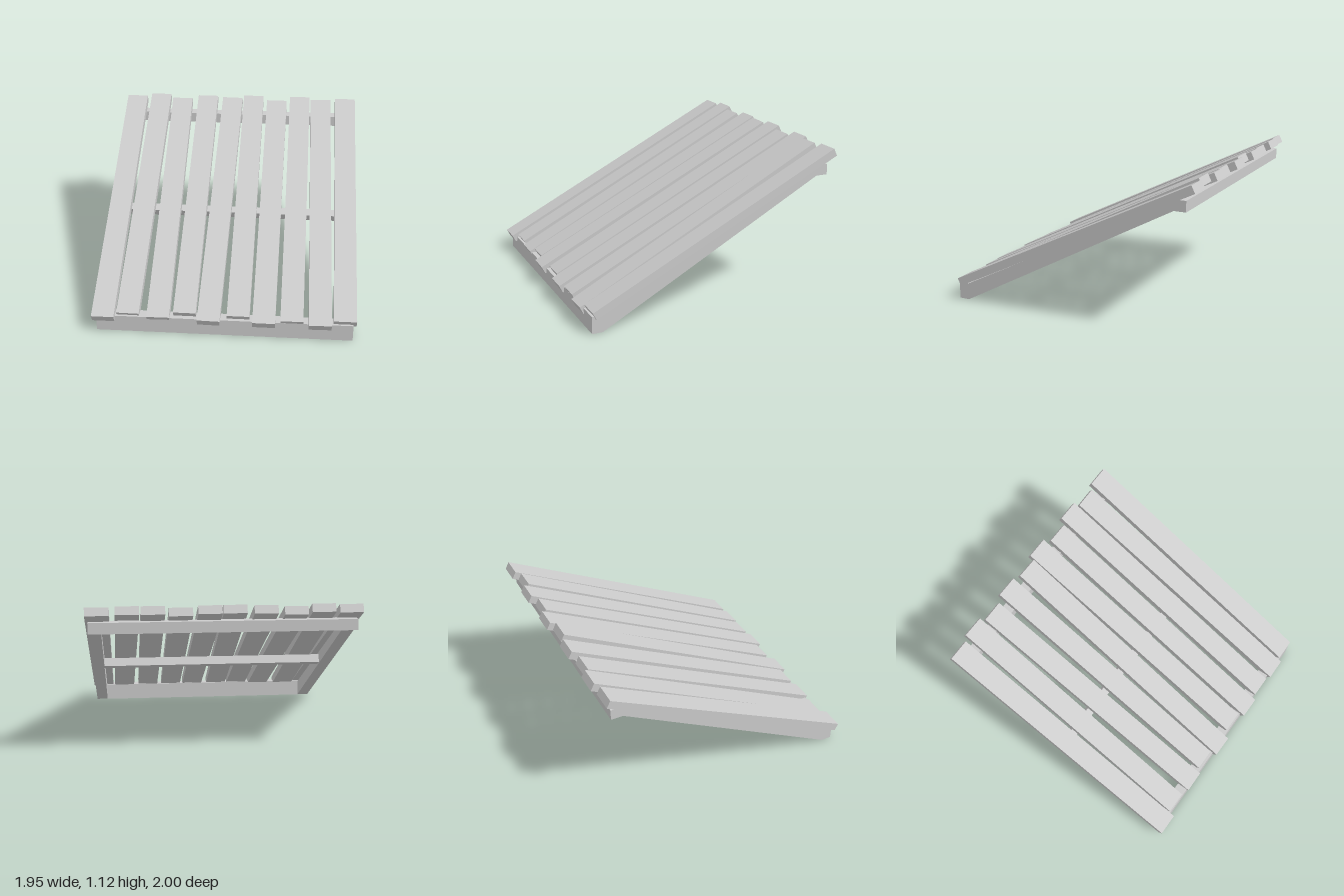
import * as THREE from 'three';

const material = new THREE.MeshStandardMaterial({ color: 0xcccccc, flatShading: true });

function addMesh(parent, name, geometry, x = 0, y = 0, z = 0) {
  const mesh = new THREE.Mesh(geometry, material);
  mesh.name = name;
  mesh.position.set(x, y, z);
  parent.add(mesh);
  return mesh;
}

// Slats: [x back, x front, z back, z front, y back, y front] of the upper surface's centre line
const SLATS = [
  [-0.895, -0.895, -0.93, 1.0, 1.11, 0.145],
  [-0.692, -0.715, -0.957, 0.952, 1.12, 0.152],
  [-0.505, -0.487, -0.925, 0.975, 1.1, 0.143],
  [-0.287, -0.292, -0.957, 0.943, 1.115, 0.17],
  [-0.073, -0.112, -0.928, 0.997, 1.115, 0.145],
  [0.105, 0.105, -0.968, 0.95, 1.12, 0.165],
  [0.305, 0.295, -0.925, 0.997, 1.1, 0.145],
  [0.5, 0.5, -0.968, 0.972, 1.12, 0.155],
  [0.677, 0.708, -0.927, 0.99, 1.115, 0.14],
  [0.885, 0.89, -0.962, 0.96, 1.115, 0.165],
];
const SLAT_WIDTH = 0.168;
const SLAT_THICKNESS = 0.062;

function createSlat([xb, xf, zb, zf, yb, yf]) {
  const run = Math.hypot(zf - zb, yb - yf);
  const geometry = new THREE.BoxGeometry(SLAT_WIDTH, SLAT_THICKNESS, run);
  geometry.translate(0, -SLAT_THICKNESS / 2, 0);
  const slat = new THREE.Mesh(geometry, material);
  slat.position.set((xb + xf) / 2, (yb + yf) / 2, (zb + zf) / 2);
  // pitch up the slope, then a slight skew within the sloping plane
  slat.rotation.set(Math.atan2(yb - yf, zf - zb), Math.atan2(xf - xb, run), 0);
  return slat;
}

export function createModel() {
  const model = new THREE.Group();
  model.name = 'slopingSlatPanel';

  // Slatted surface
  const slats = new THREE.Group();
  slats.name = 'slats';
  SLATS.forEach((data, i) => {
    const slat = createSlat(data);
    slat.name = `slat${i + 1}`;
    slats.add(slat);
  });
  model.add(slats);

  // Supporting frame
  const frame = new THREE.Group();
  frame.name = 'frame';
  model.add(frame);

  // Side rails: profile as (z, y), extruded across x
  const half = 0.95, railWidth = 0.09;
  const profile = new THREE.Shape([
    [0.96, 0], [0.96, 0.13], [0.875, 0.13], [-0.845, 1.0],
    [-0.92, 1.0], [-0.92, 0.92], [-0.83, 0.92], [0.88, 0],
  ].map(([z, y]) => new THREE.Vector2(-z, y)));
  for (const [name, x] of [['leftRail', half - railWidth], ['rightRail', -half]]) {
    const geometry = new THREE.ExtrudeGeometry(profile, { depth: railWidth, bevelEnabled: false });
    geometry.rotateY(Math.PI / 2);
    addMesh(frame, name, geometry, x);
  }

  // Cross beams between the rails
  const inner = 2 * (half - railWidth);
  addMesh(frame, 'frontBeam', new THREE.BoxGeometry(inner, 0.13, 0.085), 0, 0.065, 0.9175);
  addMesh(frame, 'backBeam', new THREE.BoxGeometry(inner, 0.08, 0.085), 0, 0.96, -0.8775);
  const middle = addMesh(frame, 'middleBeam', new THREE.BoxGeometry(inner, 0.065, 0.06), 0, 0.515, 0.008);
  middle.rotation.x = 0.47;

  return model;
}
